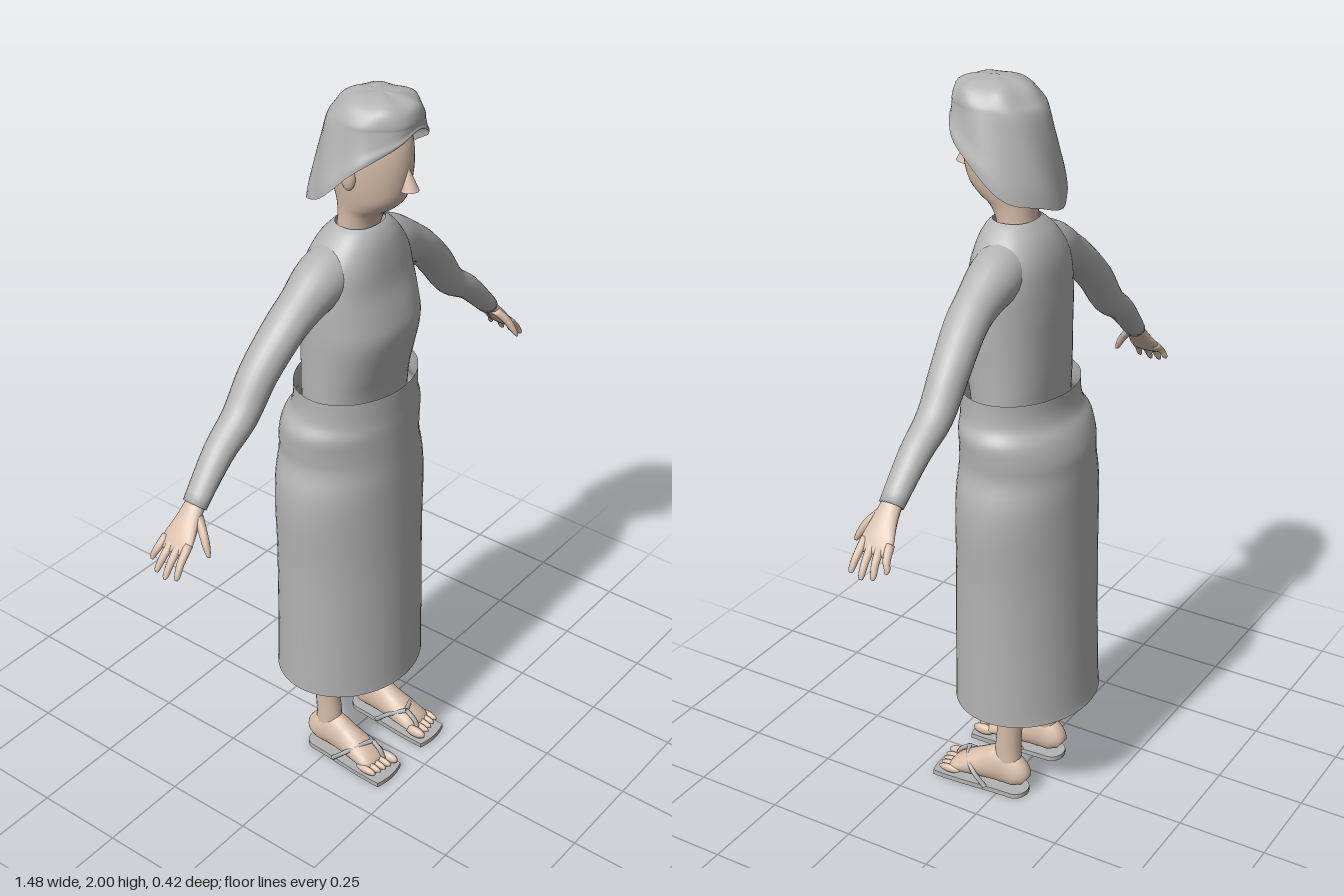
import * as THREE from 'three';
import { mergeVertices } from 'three/addons/utils/BufferGeometryUtils.js';

const V = (x, y, z) => new THREE.Vector3(x, y, z);

// Catmull-Rom resampling of rows of numbers
function smooth(rows, steps) {
  const out = [], at = i => rows[Math.max(0, Math.min(rows.length - 1, i))];
  for (let i = 0; i < rows.length - 1; i++) {
    const a = at(i - 1), b = at(i), c = at(i + 1), d = at(i + 2);
    for (let k = 0; k < steps; k++) {
      const t = k / steps;
      out.push(b.map((_, j) => {
        const cubic = 3 * (b[j] - c[j]) + d[j] - a[j];
        const square = 2 * a[j] - 5 * b[j] + 4 * c[j] - d[j];
        return b[j] + 0.5 * t * (c[j] - a[j] + t * (square + t * cubic));
      }));
    }
  }
  out.push(at(rows.length - 1));
  return out;
}

// Joins rings of points into a smooth surface facing outwards
function skin(rings, capStart, capEnd) {
  const n = rings[0].length;
  const collapse = r => {
    const c = r.reduce((s, p) => s.add(p), V(0, 0, 0)).divideScalar(n);
    return r.map(() => c.clone());
  };
  const all = [...rings];
  if (capStart) all.unshift(collapse(rings[0]));
  if (capEnd) all.push(collapse(rings[rings.length - 1]));
  const pts = all.flat(), index = [];
  for (let i = 0; i < all.length - 1; i++) {
    for (let j = 0; j < n; j++) {
      const a = i * n + j, b = i * n + (j + 1) % n;
      if (!(capEnd && i === all.length - 2)) index.push(a, b + n, a + n);
      if (!(capStart && i === 0)) index.push(a, b, b + n);
    }
  }
  const mid = pts.reduce((s, p) => s.add(p), V(0, 0, 0)).divideScalar(pts.length);
  let volume = 0;
  for (let i = 0; i < index.length; i += 3) {
    const [a, b, c] = [0, 1, 2].map(k => pts[index[i + k]].clone().sub(mid));
    volume += a.dot(b.cross(c));
  }
  if (volume < 0) index.reverse();
  let g = new THREE.BufferGeometry().setFromPoints(pts);
  g.setIndex(index);
  g = mergeVertices(g, 1e-5);
  g.computeVertexNormals();
  return g;
}

// Upright form: rows are [y, half width, front z, back z]
function upright(rows, { x = 0, n = 40, power = 1, caps = [false, false], warp } = {}) {
  const bend = v => Math.sign(v) * Math.pow(Math.abs(v), power);
  const rings = smooth(rows, 4).map(([y, w, f, b]) => Array.from({ length: n }, (_, j) => {
    const a = j / n * Math.PI * 2;
    const p = V(x + w * bend(Math.sin(a)), y, (f + b) / 2 + (f - b) / 2 * bend(Math.cos(a)));
    if (warp) warp(p, a);
    return p;
  }));
  return skin(rings, ...caps);
}

// Limb along a path: rows are [x, y, z, half height, half width], width lying along side
function limb(rows, side, s = 1, n = 16, steps = 4) {
  const r = smooth(rows, steps).map(q => [q[0] * s, ...q.slice(1)]);
  const rings = r.map((q, i) => {
    const a = r[Math.max(0, i - 1)], b = r[Math.min(r.length - 1, i + 1)];
    const up = V(b[0] - a[0], b[1] - a[1], b[2] - a[2]).cross(side).normalize();
    return Array.from({ length: n }, (_, j) => {
      const t = j / n * Math.PI * 2;
      return V(q[0], q[1], q[2]).addScaledVector(up, q[3] * Math.cos(t)).addScaledVector(side, q[4] * Math.sin(t));
    });
  });
  return skin(rings, true, true);
}

export function createModel() {
  const model = new THREE.Group();
  const mat = (name, color, side = THREE.FrontSide) => {
    const m = new THREE.MeshStandardMaterial({ color, side });
    m.name = name;
    return m;
  };
  const cloth = mat('greyCloth', 0xb4b4b4, THREE.DoubleSide);
  const flesh = mat('skin', 0xd9bfab);
  const add = (name, geometry, material) => {
    const m = new THREE.Mesh(geometry, material);
    m.name = name;
    model.add(m);
    return m;
  };
  const X = V(1, 0, 0), Z = V(0, 0, 1);

  // Long skirt, open at the hem and the waist
  add('skirt', upright([
    [0.29, 0.22, 0.172, -0.208], [0.33, 0.22, 0.17, -0.204], [0.5, 0.221, 0.166, -0.198],
    [0.7, 0.224, 0.16, -0.193], [0.85, 0.232, 0.156, -0.19], [0.94, 0.227, 0.153, -0.188],
    [1.01, 0.207, 0.15, -0.186], [1.06, 0.208, 0.149, -0.184], [1.11, 0.209, 0.148, -0.168],
    [1.145, 0.19, 0.147, -0.148], [1.18, 0.184, 0.147, -0.14], [1.217, 0.183, 0.147, -0.14],
  ], { n: 56 }), cloth);

  // Fitted top
  add('blouse', upright([
    [1.05, 0.16, 0.1, -0.1], [1.2, 0.163, 0.11, -0.106], [1.28, 0.164, 0.128, -0.109],
    [1.37, 0.167, 0.147, -0.11], [1.43, 0.167, 0.138, -0.11], [1.5, 0.165, 0.118, -0.105],
    [1.56, 0.15, 0.109, -0.096], [1.61, 0.115, 0.098, -0.076], [1.64, 0.085, 0.083, -0.052],
    [1.653, 0.066, 0.07, -0.038],
  ], { n: 48, power: 0.87 }), cloth);

  // Neck and head
  add('head', upright([
    [1.6, 0.056, 0.056, -0.045], [1.65, 0.057, 0.066, -0.038], [1.685, 0.06, 0.085, -0.038],
    [1.71, 0.066, 0.118, -0.042], [1.74, 0.073, 0.144, -0.05], [1.79, 0.081, 0.157, -0.06],
    [1.85, 0.085, 0.16, -0.06], [1.9, 0.08, 0.148, -0.05], [1.94, 0.055, 0.12, -0.02],
    [1.955, 0.02, 0.08, 0.03],
  ], { caps: [true, true] }), flesh);
  const nose = add('nose', new THREE.ConeGeometry(0.021, 0.07, 12), flesh);
  nose.position.set(0, 1.803, 0.157);
  nose.rotation.x = -0.12;
  nose.scale.z = 1.25;

  // Soft cap: high over the brow, hanging low at the sides and nape
  add('cap', upright([
    [1.998, 0.006, 0.085, 0.07], [1.994, 0.05, 0.135, 0.015], [1.978, 0.085, 0.168, -0.018],
    [1.95, 0.106, 0.178, -0.043], [1.925, 0.111, 0.178, -0.06], [1.87, 0.119, 0.178, -0.073],
    [1.8, 0.13, 0.178, -0.088], [1.74, 0.142, 0.18, -0.1], [1.7, 0.146, 0.178, -0.106],
  ], {
    n: 60, caps: [true, false],
    warp: (p, a) => {
      const c = Math.cos(a), top = 1.94;
      const edge = 1.785 + 0.11 * c + 0.02 * c * c + 0.006 * Math.sin(5 * a + 1);
      if (p.y < top) p.y = top + (p.y - top) * (top - edge) / (top - 1.7);
      else p.y += 0.004 * Math.sin(6 * a + 0.6) * Math.min(1, (2 - p.y) * 40, (p.y - top) * 40);
      const fold = 1 + 0.015 * Math.sin(7 * a + p.y * 25);
      p.x *= fold;
      p.z = 0.04 + (p.z - 0.04) * fold;
    },
  }), cloth);

  for (const s of [1, -1]) {
    const label = s > 0 ? 'left' : 'right';

    const ear = add(label + 'Ear', new THREE.SphereGeometry(1, 14, 10), flesh);
    ear.scale.set(0.014, 0.034, 0.02);
    ear.position.set(0.084 * s, 1.8, 0.045);

    // Sleeve
    add(label + 'Sleeve', limb([
      [0.04, 1.555, 0.005, 0.075, 0.07], [0.13, 1.535, 0, 0.07, 0.07], [0.21, 1.498, 0, 0.056, 0.058],
      [0.275, 1.458, -0.003, 0.047, 0.055], [0.36, 1.375, -0.012, 0.046, 0.05], [0.43, 1.288, -0.014, 0.041, 0.046],
      [0.515, 1.228, -0.012, 0.034, 0.04], [0.61, 1.134, -0.007, 0.026, 0.032],
    ], Z, s, 24), cloth);

    // Hand: palm, four fingers and a thumb
    add(label + 'Palm', limb([
      [0.595, 1.148, -0.007, 0.02, 0.025], [0.635, 1.108, -0.006, 0.017, 0.033],
      [0.67, 1.07, -0.007, 0.013, 0.045], [0.692, 1.042, -0.009, 0.008, 0.043],
    ], Z, s), flesh);
    [[-0.043, -0.057, 0.714, 1.014], [-0.02, -0.029, 0.73, 0.998], [0.003, 0.001, 0.735, 0.993], [0.026, 0.032, 0.729, 1.0]]
      .forEach(([z0, z1, x1, y1], i) => add(`${label}Finger${i + 1}`, limb([
        [0.672, 1.068, z0, 0.01, 0.012], [(0.672 + x1) / 2 + 0.006, (1.068 + y1) / 2, (z0 + z1) / 2, 0.009, 0.01],
        [x1 - 0.006, y1 + 0.009, z1, 0.007, 0.008], [x1, y1, z1, 0.003, 0.004],
      ], Z, s, 10, 3), flesh));
    add(label + 'Thumb', limb([
      [0.618, 1.12, 0.01, 0.013, 0.016], [0.636, 1.09, 0.04, 0.011, 0.014],
      [0.647, 1.058, 0.06, 0.009, 0.01], [0.652, 1.04, 0.069, 0.004, 0.005],
    ], Z, s, 10, 3), flesh);

    // Leg, continuing up inside the skirt
    add(label + 'Leg', upright([
      [0.06, 0.03, 0.02, -0.055], [0.13, 0.031, 0.024, -0.052], [0.19, 0.033, 0.018, -0.054],
      [0.29, 0.038, 0.017, -0.06], [0.42, 0.05, 0.03, -0.072], [0.55, 0.05, 0.04, -0.06],
      [0.75, 0.065, 0.06, -0.075], [0.95, 0.08, 0.075, -0.09],
    ], { x: 0.1 * s, n: 20, caps: [true, true] }), flesh);

    // Foot with five toes
    add(label + 'Foot', limb([
      [0.1, 0.045, -0.07, 0.02, 0.02], [0.1, 0.058, -0.05, 0.043, 0.033], [0.1, 0.075, 0, 0.06, 0.036],
      [0.1, 0.064, 0.05, 0.049, 0.039], [0.101, 0.05, 0.1, 0.036, 0.045], [0.102, 0.038, 0.14, 0.022, 0.047],
      [0.102, 0.03, 0.155, 0.013, 0.043],
    ], X, s, 20), flesh);
    for (let i = 0; i < 5; i++) {
      const toe = add(`${label}Toe${i + 1}`, new THREE.SphereGeometry(1, 12, 8), flesh);
      const r = i ? 0.0095 : 0.013;
      toe.scale.set(r, r * 1.25, 0.034);
      toe.position.set((i ? 0.071 + i * 0.0188 : 0.065) * s, 0.032, 0.168 - i * 0.004);
    }

    // Sandal: flat sole and a forked strap
    const sole = new THREE.Shape();
    sole.moveTo(-0.053, 0.2);
    sole.bezierCurveTo(-0.055, 0.1, -0.04, 0.03, -0.04, -0.04);
    sole.bezierCurveTo(-0.038, -0.088, 0.038, -0.088, 0.04, -0.04);
    sole.bezierCurveTo(0.04, 0.03, 0.056, 0.1, 0.054, 0.2);
    sole.quadraticCurveTo(0, 0.218, -0.053, 0.2);
    const soleMesh = add(label + 'SandalSole', new THREE.ExtrudeGeometry(sole, { depth: 0.014, bevelEnabled: false, curveSegments: 10 }), cloth);
    soleMesh.rotation.x = Math.PI / 2;
    soleMesh.position.set(0.102 * s, 0.014, 0);
    const straps = [
      [[0.057, 0.012, 0.035], [0.056, 0.052, 0.075], [0.08, 0.079, 0.125]],
      [[0.147, 0.012, 0.035], [0.146, 0.052, 0.075], [0.122, 0.076, 0.105], [0.08, 0.079, 0.125]],
      [[0.08, 0.079, 0.125], [0.081, 0.055, 0.155], [0.081, 0.012, 0.17]],
    ];
    straps.forEach((pts, i) => {
      const path = new THREE.CatmullRomCurve3(pts.map(([x, y, z]) => V(x * s, y, z)));
      add(`${label}SandalStrap${i + 1}`, new THREE.TubeGeometry(path, 14, 0.0065, 8), cloth);
    });
  }
  return model;
}
